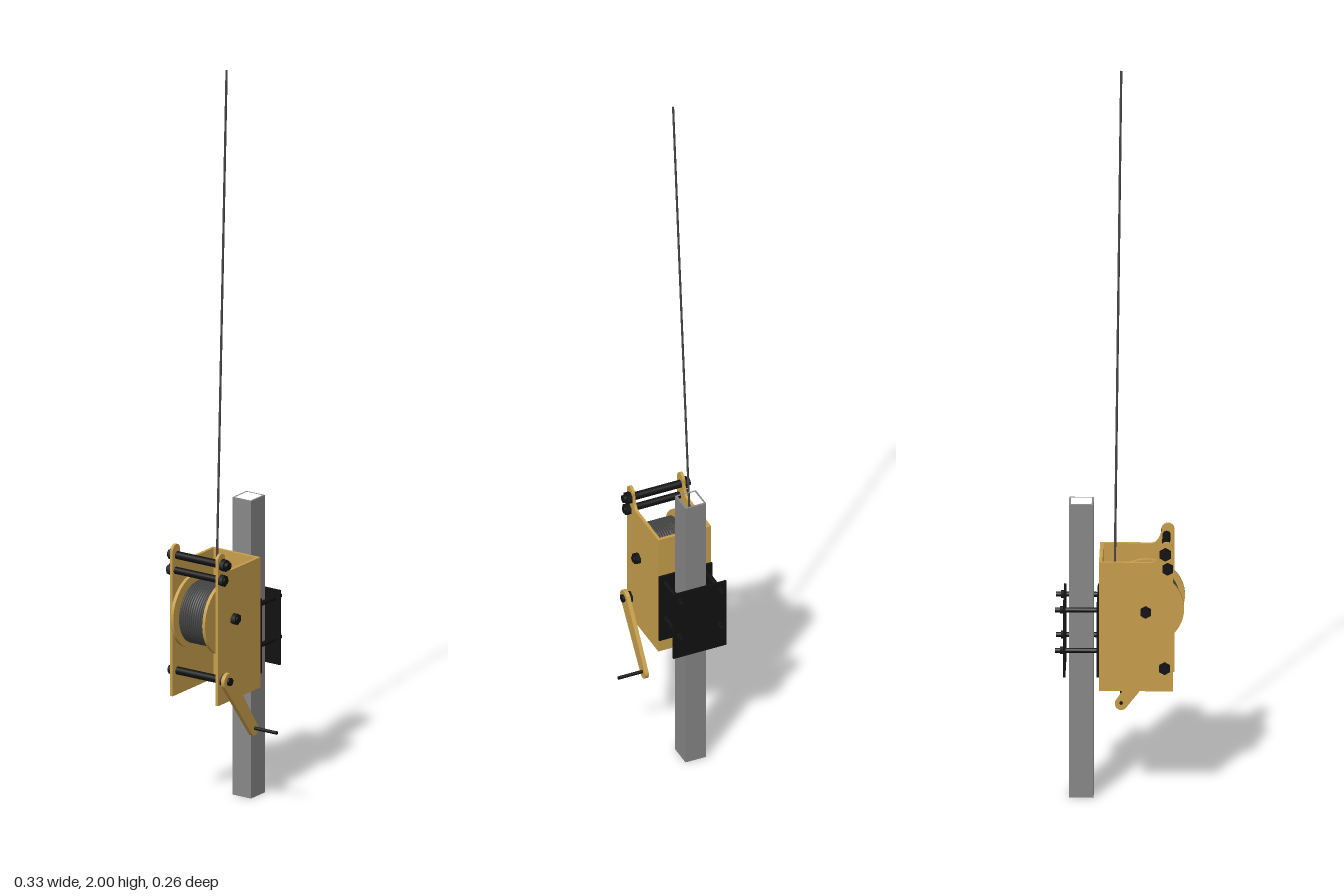
import * as THREE from 'three';

const mat = (color) => new THREE.MeshStandardMaterial({ color });

export function createModel() {
  const model = new THREE.Group();
  const gold = mat(0xc8a04c), black = mat(0x111111), steel = mat(0x888888), wire = mat(0x484848);

  const add = (name, geo, material, parent = model) => {
    const mesh = new THREE.Mesh(geo, material);
    mesh.name = name;
    parent.add(mesh);
    return mesh;
  };
  const box = (name, x0, x1, y0, y1, z0, z1, material) =>
    add(name, new THREE.BoxGeometry(x1 - x0, y1 - y0, z1 - z0)
      .translate((x0 + x1) / 2, (y0 + y1) / 2, (z0 + z1) / 2), material);
  const rodZ = (name, x, y, z0, z1, r, material, parent, sides = 24) =>
    add(name, new THREE.CylinderGeometry(r, r, z1 - z0, sides).rotateX(Math.PI / 2)
      .translate(x, y, (z0 + z1) / 2), material, parent);
  const rodX = (name, y, z, x0, x1, r, material, parent, sides = 16) =>
    add(name, new THREE.CylinderGeometry(r, r, x1 - x0, sides).rotateZ(Math.PI / 2)
      .translate((x0 + x1) / 2, y, z), material, parent);
  const plate = (name, shape, z0, z1, material) =>
    add(name, new THREE.ExtrudeGeometry(shape, { depth: z1 - z0, bevelEnabled: false, curveSegments: 20 })
      .translate(0, 0, z0), material);

  // Hollow square post
  const post = new THREE.Shape();
  const square = (path, x0, x1, z0, z1) =>
    path.moveTo(x0, -z0).lineTo(x1, -z0).lineTo(x1, -z1).lineTo(x0, -z1).closePath();
  square(post, 0.067, 0.131, -0.062, -0.003);
  const bore = new THREE.Path();
  square(bore, 0.072, 0.126, -0.057, -0.008);
  post.holes.push(bore);
  add('post', new THREE.ExtrudeGeometry(post, { depth: 0.81, bevelEnabled: false }).rotateX(-Math.PI / 2), steel);

  // Winch frame: two side plates with rounded ears, joined by a web
  const side = new THREE.Shape();
  side.moveTo(-0.14, 0.315);
  side.lineTo(0.052, 0.315);
  side.lineTo(0.052, 0.67);
  side.lineTo(-0.082, 0.67);
  side.quadraticCurveTo(-0.1, 0.672, -0.107, 0.705);
  side.absarc(-0.1235, 0.709, 0.0165, 0, Math.PI, false);
  side.closePath();
  plate('backSidePlate', side, -0.113, -0.105, gold);
  plate('frontSidePlate', side, 0.03, 0.038, gold);
  box('frameWeb', 0.043, 0.052, 0.315, 0.67, -0.105, 0.03, gold);

  // Cross bolts with hexagonal nuts outside both side plates
  const crossBolt = (name, x, y, z0, z1, r, nutR) => {
    const bolt = new THREE.Group();
    bolt.name = name;
    model.add(bolt);
    rodZ('shaft', x, y, z0, z1, r, black, bolt);
    rodZ('backNut', x, y, -0.124, -0.113, nutR, black, bolt, 6);
    rodZ('frontNut', x, y, 0.038, 0.051, nutR, black, bolt, 6);
  };
  crossBolt('upperGuideRod', -0.12, 0.695, -0.13, 0.06, 0.0105, 0.017);
  crossBolt('lowerGuideRod', -0.126, 0.655, -0.13, 0.055, 0.0095, 0.016);
  crossBolt('drumAxle', -0.069, 0.535, -0.13, 0.055, 0.009, 0.0155);
  crossBolt('crankShaft', -0.118, 0.38, -0.13, 0.064, 0.0105, 0.016);

  // Cable drum
  const [dx, dy] = [-0.069, 0.535];
  rodZ('drumCore', dx, dy, -0.084, 0.009, 0.024, gold);
  rodZ('backFlange', dx, dy, -0.092, -0.083, 0.099, gold, model, 64);
  rodZ('frontFlange', dx, dy, 0.008, 0.017, 0.099, gold, model, 64);

  // Wound cable, then the straight run leaving the drum upward
  class Coil extends THREE.Curve {
    getPoint(t, target = new THREE.Vector3()) {
      const a = (t - 1) * Math.PI * 2 * 12;
      return target.set(dx + 0.082 * Math.cos(a), dy + 0.082 * Math.sin(a), 0.003 - 0.08 * t);
    }
  }
  add('cableCoil', new THREE.TubeGeometry(new Coil(), 480, 0.003, 8), wire);
  const run = new THREE.LineCurve3(new THREE.Vector3(0.013, dy, -0.075), new THREE.Vector3(-0.004, 2, -0.03));
  add('cableRun', new THREE.TubeGeometry(run, 1, 0.003, 8), wire);

  // Tapered crank arm with its handle pin
  const [ax, ay, ar] = [-0.118, 0.38, 0.022], [bx, by, br] = [-0.002, 0.218, 0.016];
  const dir = Math.atan2(by - ay, bx - ax);
  const open = Math.acos((ar - br) / Math.hypot(bx - ax, by - ay));
  const arm = new THREE.Shape();
  arm.absarc(ax, ay, ar, dir + open, dir - open + Math.PI * 2, false);
  arm.absarc(bx, by, br, dir - open, dir + open, false);
  arm.closePath();
  plate('crankArm', arm, 0.047, 0.058, gold);
  rodZ('crankHandle', bx, 0.222, 0.044, 0.128, 0.0045, black);

  // Clamp plates either side of the post, with four bolts
  box('innerClampPlate', 0.052, 0.058, 0.352, 0.555, -0.114, 0.038, black);
  box('outerClampPlate', 0.139, 0.145, 0.352, 0.555, -0.114, 0.038, black);
  for (const y of [0.42, 0.532]) {
    for (const z of [-0.096, 0.02]) {
      const bolt = new THREE.Group();
      bolt.name = 'clampBolt';
      model.add(bolt);
      rodX('shaft', y, z, 0.043, 0.166, 0.0065, black, bolt);
      rodX('nut', y, z, 0.145, 0.153, 0.01, black, bolt, 6);
      rodX('head', y, z, 0.041, 0.047, 0.009, black, bolt, 6);
    }
  }
  return model;
}
